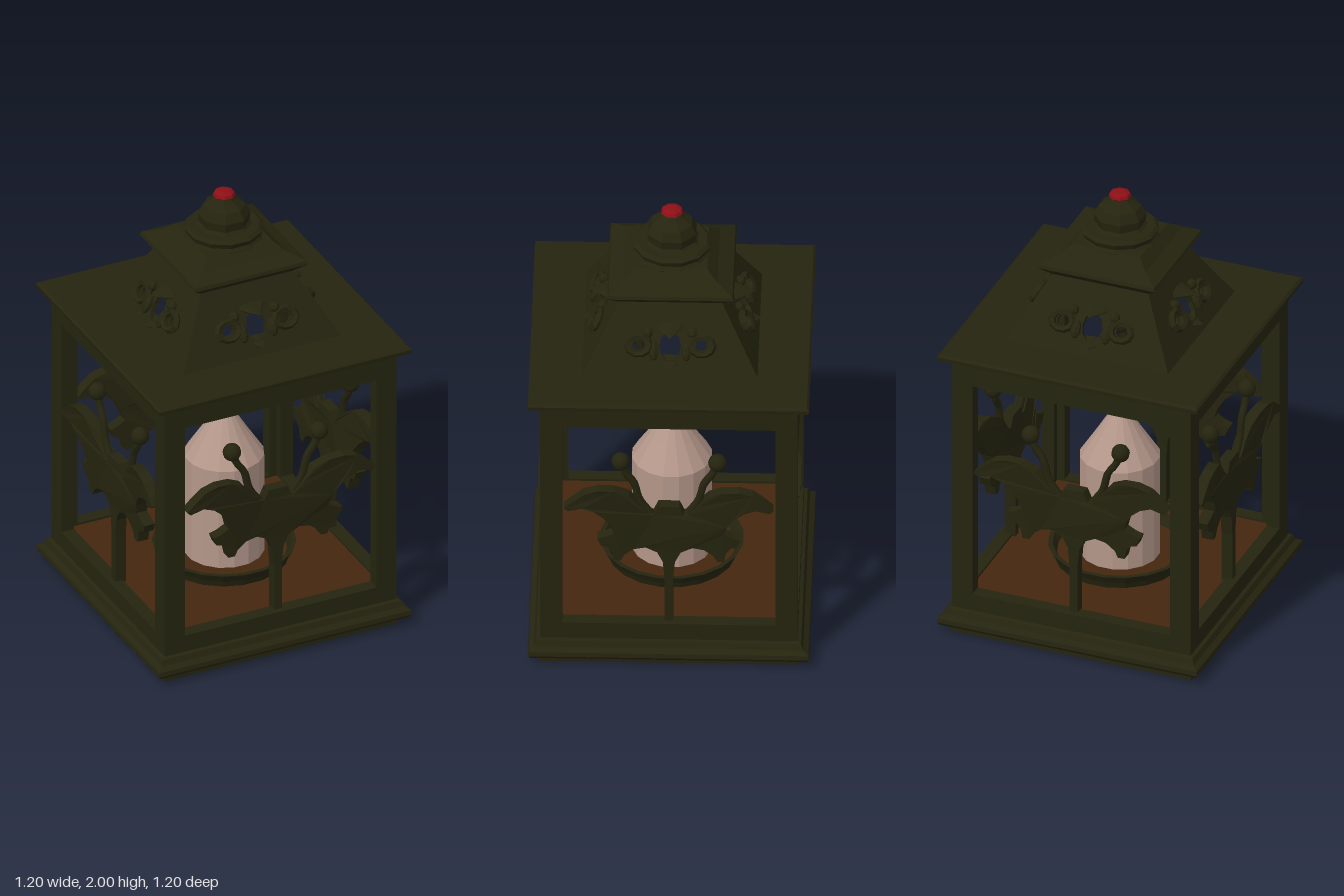
import * as THREE from 'three';

const metal = new THREE.MeshStandardMaterial({ color: 0x25240f });
metal.name = 'dark olive metal';
const wax = new THREE.MeshStandardMaterial({ color: 0xb4978a });
wax.name = 'candle wax';
const red = new THREE.MeshStandardMaterial({ color: 0x8c1016 });
red.name = 'red tip';
const brown = new THREE.MeshStandardMaterial({ color: 0x45260f });
brown.name = 'brown floor';

const V2 = (p) => new THREE.Vector2(p[0], p[1]);

function part(name, geometry, material, parent) {
  const mesh = new THREE.Mesh(geometry, material);
  mesh.name = name;
  parent.add(mesh);
  return mesh;
}

// Faceted geometry: every face gets its own normal
function facet(geometry) {
  const g = geometry.index ? geometry.toNonIndexed() : geometry;
  g.computeVertexNormals();
  return g;
}

// Profile turned around y; four sides give a square moulding of the given half width
function turned(points, sides) {
  const k = 1 / Math.cos(Math.PI / sides);
  const g = new THREE.LatheGeometry(points.map(([x, y]) => new THREE.Vector2(x * k, y)), sides);
  return facet(g.rotateY(Math.PI / sides));
}

function rectPath(path, x, y0, y1) {
  path.moveTo(-x, y0);
  path.lineTo(x, y0);
  path.lineTo(x, y1);
  path.lineTo(-x, y1);
  path.closePath();
  return path;
}

// Right half outline of the winged flower ornament, from the stem upwards
const FLOWER = [
  [0.018, 0.19], [0.018, 0.42], [0.026, 0.51], [0.05, 0.56], [0.1, 0.585], [0.15, 0.575],
  [0.19, 0.545], [0.205, 0.515], [0.235, 0.515], [0.245, 0.56], [0.265, 0.585], [0.29, 0.59],
  [0.305, 0.63], [0.27, 0.64], [0.235, 0.66], [0.25, 0.71], [0.28, 0.755], [0.32, 0.79],
  [0.37, 0.81], [0.43, 0.795], [0.447, 0.81], [0.41, 0.845], [0.36, 0.885], [0.3, 0.902],
  [0.23, 0.893], [0.17, 0.86], [0.125, 0.805], [0.085, 0.76], [0.065, 0.755], [0.045, 0.80], [0.012, 0.80],
];

function flowerGeometry() {
  const left = FLOWER.map(([x, y]) => [-x, y]).reverse();
  const g = new THREE.ExtrudeGeometry(new THREE.Shape([...FLOWER, ...left].map(V2)), { depth: 0.05, bevelEnabled: false });
  // Wing tips bend outwards
  const p = g.attributes.position;
  for (let i = 0; i < p.count; i++) {
    const bend = THREE.MathUtils.smoothstep(Math.abs(p.getX(i)), 0.1, 0.3) * THREE.MathUtils.smoothstep(p.getY(i), 0.6, 0.82);
    p.setZ(i, p.getZ(i) + 0.475 + 0.035 * bend);
  }
  g.computeVertexNormals();
  return g;
}

// One wall of the lantern: frame, flower and feelers
function buildSide() {
  const side = new THREE.Group();
  const shape = rectPath(new THREE.Shape(), 0.55, 0.12, 1.35);
  shape.holes.push(rectPath(new THREE.Path(), 0.455, 0.2, 1.23));
  const frame = new THREE.ExtrudeGeometry(shape, { depth: 0.06, bevelEnabled: false });
  part('windowFrame', frame.translate(0, 0, 0.49), metal, side);
  part('wingedFlower', flowerGeometry(), metal, side);
  for (const s of [-1, 1]) {
    const curve = new THREE.CatmullRomCurve3([
      [0.07, 0.74], [0.125, 0.82], [0.15, 0.91], [0.185, 0.96], [0.205, 1.02],
    ].map(([x, y]) => new THREE.Vector3(s * x, y, 0.5)));
    part('feeler', new THREE.TubeGeometry(curve, 12, 0.017, 6), metal, side);
    const bulb = part('feelerBulb', new THREE.SphereGeometry(0.04, 12, 8), metal, side);
    bulb.position.set(s * 0.207, 1.02, 0.5);
  }
  return side;
}

// One sloping roof wall with pierced holes and relief
function buildRoofSide() {
  const side = new THREE.Group();
  const run = 0.155, rise = 0.28;
  const tilt = Math.atan2(run, rise), len = Math.hypot(run, rise);
  const shape = new THREE.Shape([[-0.375, 0], [0.375, 0], [0.22, len], [-0.22, len]].map(V2));
  const hole = (x, y, rx, ry) => {
    const path = new THREE.Path();
    path.absellipse(x, y, rx, ry, 0, Math.PI * 2, true, 0);
    shape.holes.push(path);
  };
  hole(0, 0.131, 0.046, 0.064);
  hole(-0.135, 0.135, 0.028, 0.024);
  hole(0.135, 0.135, 0.028, 0.024);
  const wall = new THREE.ExtrudeGeometry(shape, { depth: 0.02, bevelEnabled: false, curveSegments: 5 });
  wall.translate(0, 0, -0.02);
  const slope = new THREE.Group();
  slope.name = 'roofSlope';
  slope.position.set(0, 1.38, 0.375);
  slope.rotation.x = -tilt;
  side.add(slope);
  part('roofWall', wall, metal, slope);

  // Leaf rings beside the middle hole
  for (const s of [-1, 1]) {
    const ring = part('leafRing', facet(new THREE.TorusGeometry(0.042, 0.015, 5, 10)), metal, slope);
    ring.position.set(s * 0.135, 0.135, 0.012);
    ring.scale.set(1.15, 0.95, 1.2);
    const bud = part('leafBud', facet(new THREE.SphereGeometry(0.024, 7, 5)), metal, slope);
    bud.position.set(s * 0.095, 0.19, 0.01);
    const stem = part('leafStem', facet(new THREE.SphereGeometry(0.03, 7, 5)), metal, slope);
    stem.position.set(s * 0.07, 0.11, 0.008);
    stem.scale.set(0.8, 1.4, 0.7);
  }
  // Pointed petals above and below the hole
  const petal = (name, y, z, width, reach) => {
    const cone = new THREE.ConeGeometry(width, reach, 8).rotateX(Math.PI / 2);
    const mesh = part(name, facet(cone), metal, side);
    mesh.scale.y = 0.3;
    mesh.position.set(0, y, z);
  };
  petal('upperPetal', 1.565, 0.3, 0.085, 0.11);
  petal('lowerPetal', 1.425, 0.345, 0.075, 0.08);
  return side;
}

export function createModel() {
  const model = new THREE.Group();
  model.name = 'lantern';

  // Base and floor
  part('base', turned([
    [0, 0], [0.555, 0], [0.555, 0.04], [0.59, 0.04], [0.6, 0.055], [0.597, 0.075],
    [0.575, 0.09], [0.565, 0.115], [0.548, 0.12], [0, 0.12],
  ], 4), metal, model);
  part('floor', new THREE.BoxGeometry(0.99, 0.07, 0.99).translate(0, 0.155, 0), brown, model);

  // Four matching walls and roof slopes
  for (let i = 0; i < 4; i++) {
    const wall = buildSide();
    wall.name = 'wall';
    const roof = buildRoofSide();
    roof.name = 'roofSide';
    wall.rotation.y = roof.rotation.y = i * Math.PI / 2;
    model.add(wall, roof);
  }

  // Candle on its dish
  part('dish', turned([
    [0, 0.192], [0.275, 0.195], [0.285, 0.225], [0.305, 0.262], [0.285, 0.262], [0.265, 0.222],
  ], 20), metal, model);
  part('dishInside', turned([[0.266, 0.224], [0, 0.224]], 20), brown, model);
  part('candle', turned([
    [0.17, 0.22], [0.17, 0.7], [0.1, 0.81], [0.03, 0.925], [0, 0.94],
  ], 16), wax, model);

  // Open roof slab
  part('roofSlab', turned([
    [0.355, 1.34], [0.575, 1.34], [0.598, 1.352], [0.6, 1.37], [0.59, 1.38], [0.355, 1.381], [0.355, 1.34],
  ], 4), metal, model);

  // Upper eave and finial
  part('upperEave', turned([
    [0, 1.655], [0.215, 1.655], [0.27, 1.705], [0.265, 1.72], [0.2, 1.75], [0.155, 1.79], [0, 1.79],
  ], 4), metal, model);
  part('collar', turned([
    [0.14, 1.76], [0.168, 1.785], [0.155, 1.8], [0.165, 1.825], [0.15, 1.838], [0, 1.84],
  ], 12), metal, model);
  part('finial', turned([
    [0.12, 1.83], [0.1, 1.85], [0.105, 1.89], [0.085, 1.93], [0.05, 1.955], [0.035, 1.97], [0, 1.97],
  ], 8), metal, model);
  part('redTip', turned([
    [0.03, 1.965], [0.045, 1.978], [0.04, 1.992], [0.02, 2], [0, 2],
  ], 8), red, model);

  return model;
}
